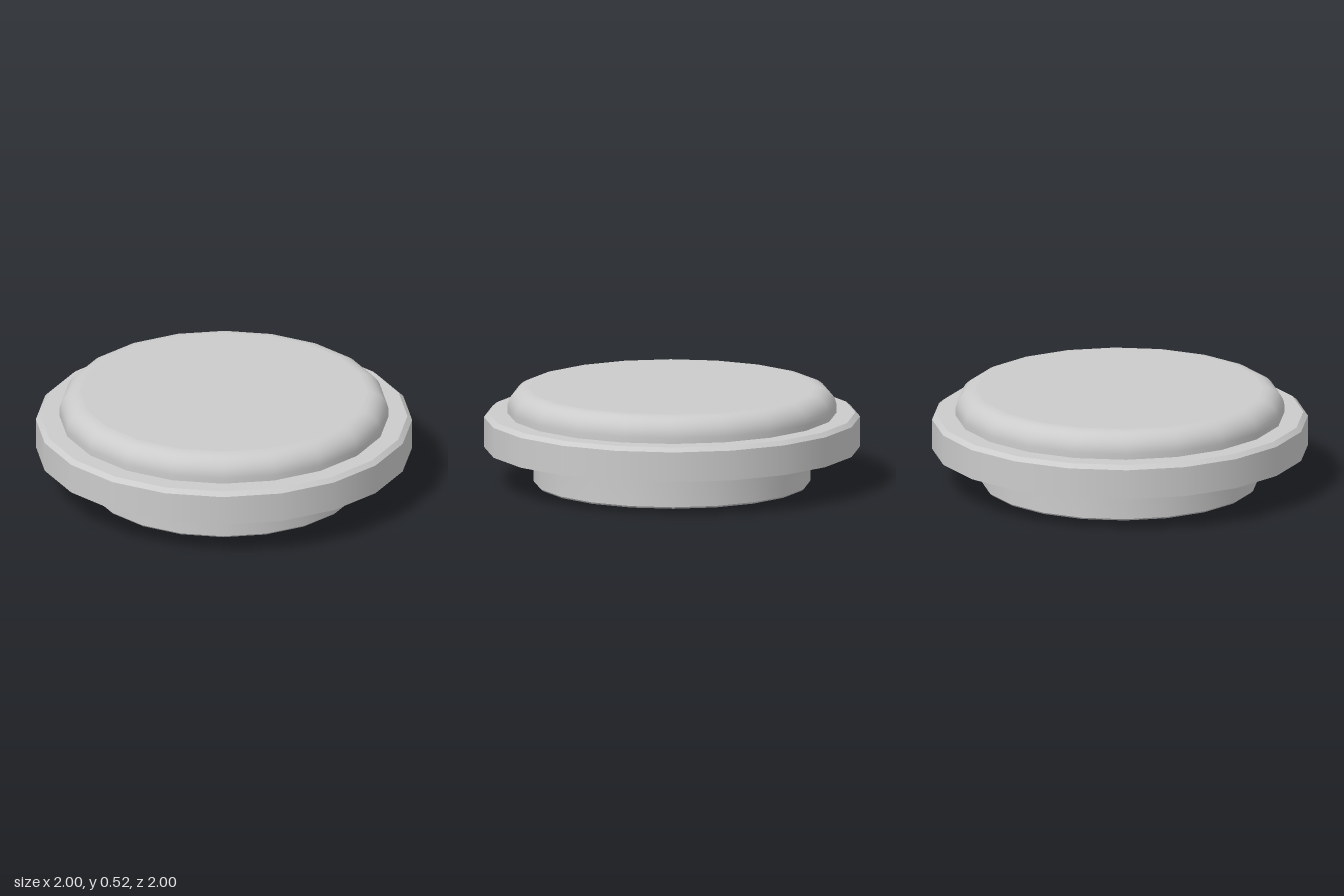
import * as THREE from 'three';
import { mergeGeometries } from 'three/addons/utils/BufferGeometryUtils.js';

const SIDES = 20;
const material = new THREE.MeshStandardMaterial({ color: 0xcccccc });

// Turned part: each strip is a smooth [radius, y] profile, with sharp edges between strips
function turned(name, strips) {
  const geometries = strips.map((strip) =>
    new THREE.LatheGeometry(strip.map(([r, y]) => new THREE.Vector2(r, y)), SIDES));
  const mesh = new THREE.Mesh(mergeGeometries(geometries), material);
  mesh.name = name;
  return mesh;
}

export function createModel() {
  const group = new THREE.Group();
  group.name = 'roundCap';

  // Plug with a shallow recess underneath and a small flare at the top
  group.add(turned('plug', [
    [[0, 0.02], [0.67, 0.02]],
    [[0.67, 0.02], [0.67, 0]],
    [[0.67, 0], [0.725, 0]],
    [[0.725, 0], [0.735, 0.01]],
    [[0.735, 0.01], [0.735, 0.165], [0.739, 0.18], [0.748, 0.197], [0.762, 0.22]],
  ]));

  // Flange with a recessed underside and a chamfered top edge
  group.add(turned('flange', [
    [[0.74, 0.22], [0.935, 0.22]],
    [[0.935, 0.22], [0.935, 0.197]],
    [[0.935, 0.197], [1, 0.197]],
    [[1, 0.197], [1, 0.358]],
    [[1, 0.358], [0.975, 0.38]],
    [[0.975, 0.38], [0.87, 0.38]],
  ]));

  // Raised top with a rounded rim
  const rim = [[0.875, 0.38]];
  for (let i = 0; i <= 8; i++) {
    const a = (i / 8) * Math.PI / 2;
    rim.push([0.765 + 0.11 * Math.cos(a), 0.41 + 0.108 * Math.sin(a)]);
  }
  group.add(turned('raisedTop', [rim, [[0.765, 0.518], [0, 0.518]]]));

  return group;
}
